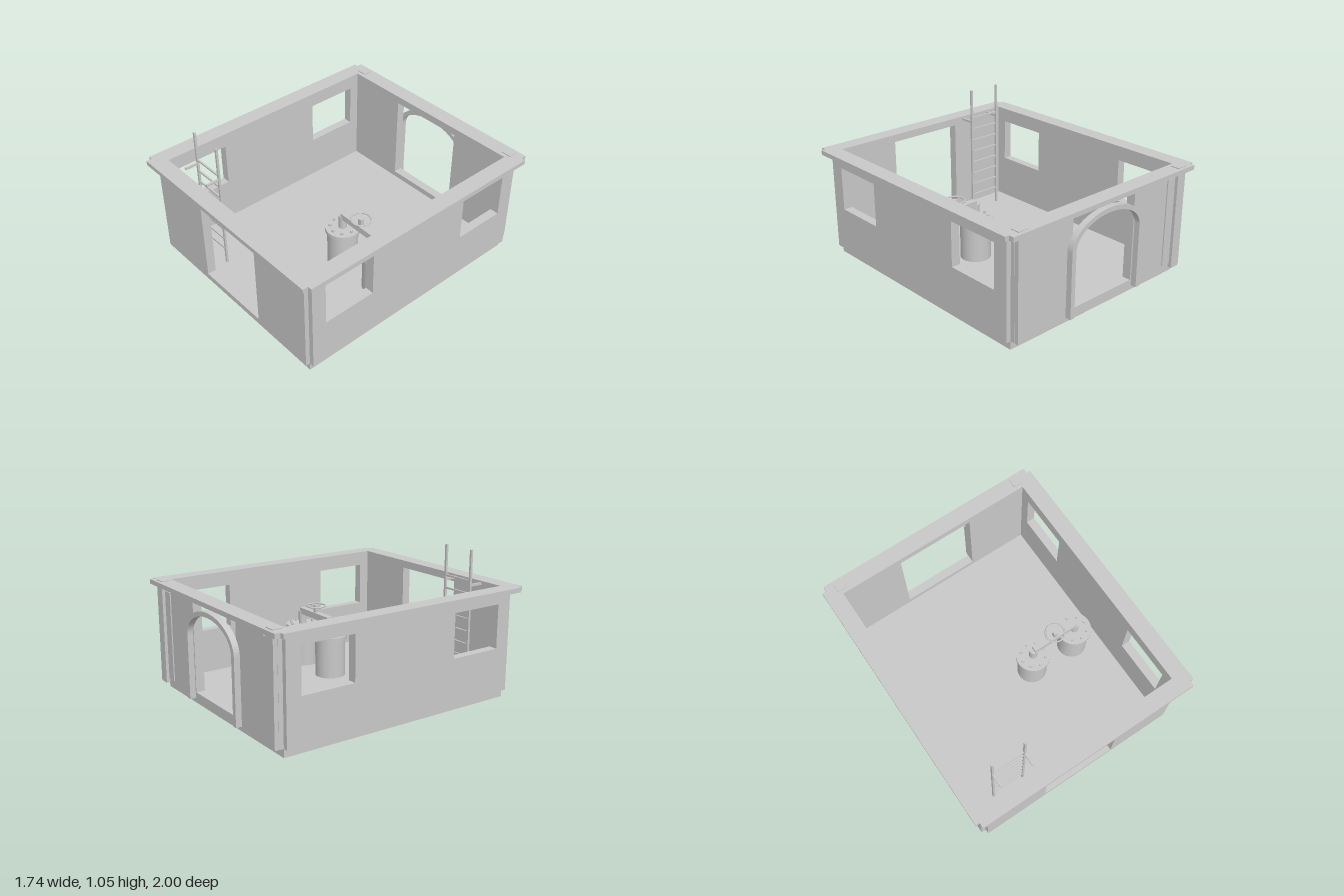
import * as THREE from 'three';

export function createModel() {
  const model = new THREE.Group();
  const grey = new THREE.MeshStandardMaterial({ color: 0xc8c8c8 });
  grey.name = 'plain grey';

  const add = (name, geometry, parent = model) => {
    const mesh = new THREE.Mesh(geometry, grey);
    mesh.name = name;
    parent.add(mesh);
    return mesh;
  };
  // Box given by its limits on each axis
  const box = (name, x0, x1, y0, y1, z0, z1, parent) => {
    const g = new THREE.BoxGeometry(x1 - x0, y1 - y0, z1 - z0);
    g.translate((x0 + x1) / 2, (y0 + y1) / 2, (z0 + z1) / 2);
    return add(name, g, parent);
  };
  const cylinder = (name, r, y0, y1, x, z, sides, parent) => {
    const g = new THREE.CylinderGeometry(r, r, y1 - y0, sides);
    g.translate(x, (y0 + y1) / 2, z);
    return add(name, g, parent);
  };
  const rect = (Type, x0, x1, y0, y1) => new Type([
    [x0, y0], [x1, y0], [x1, y1], [x0, y1],
  ].map(([x, y]) => new THREE.Vector2(x, y)));
  // Upright slab with rectangular openings, starting at z = 0
  const slab = (half, holes, depth) => {
    const shape = rect(THREE.Shape, -half, half, 0.06, 0.775);
    holes.forEach((h) => shape.holes.push(rect(THREE.Path, ...h)));
    return new THREE.ExtrudeGeometry(shape, { depth, bevelEnabled: false });
  };

  // Foundation, whose top is the floor
  box('foundation', -0.78, 0.78, 0, 0.06, -0.913, 0.913);

  // Walls with doorways front and back and two windows on each side
  const doorway = [[-0.29, 0.29, 0.103, 0.75]];
  const windows = [[-0.805, -0.41, 0.383, 0.7], [0.41, 0.805, 0.383, 0.7]];
  add('frontWall', slab(0.78, doorway, 0.065).translate(0, 0, 0.88));
  add('backWall', slab(0.78, doorway, 0.065).translate(0, 0, -0.945));
  for (const x of [-0.75, 0.815]) {
    add(x > 0 ? 'leftWall' : 'rightWall',
      slab(0.913, windows, 0.065).rotateY(-Math.PI / 2).translate(x, 0, 0));
  }

  // Cornice ring with notched corners
  const outline = [];
  for (const [sx, sz, swap] of [[1, 1, 0], [-1, 1, 1], [-1, -1, 0], [1, -1, 1]]) {
    const pts = [[0.87, 0.96], [0.84, 0.96], [0.84, 1]];
    if (swap) pts.reverse();
    pts.forEach(([x, z]) => outline.push(new THREE.Vector2(x * sx, z * sz)));
  }
  const ring = new THREE.Shape(outline);
  ring.holes.push(rect(THREE.Path, -0.75, 0.75, -0.88, 0.88));
  add('cornice', new THREE.ExtrudeGeometry(ring, { depth: 0.033, bevelEnabled: false })
    .rotateX(-Math.PI / 2).translate(0, 0.773, 0));

  // Pilasters and narrow panels on the back wall
  for (const s of [-1, 1]) {
    const span = (a, b) => (s > 0 ? [a, b] : [-b, -a]);
    box('pilaster', ...span(0.7, 0.778), 0.06, 0.812, -0.975, -0.91);
    box('wallPanel', ...span(0.625, 0.7), 0.09, 0.74, -0.953, -0.94);
  }

  // Arched surround of the back doorway
  const arch = new THREE.Shape();
  arch.moveTo(0.335, 0.06);
  arch.lineTo(0.335, 0.527);
  arch.absellipse(0, 0.527, 0.335, 0.211, 0, Math.PI, false);
  arch.lineTo(-0.335, 0.06);
  arch.lineTo(-0.3, 0.06);
  arch.lineTo(-0.3, 0.527);
  arch.absellipse(0, 0.527, 0.3, 0.178, Math.PI, 0, true);
  arch.lineTo(0.3, 0.06);
  add('doorArch', new THREE.ExtrudeGeometry(arch,
    { depth: 0.045, bevelEnabled: false, curveSegments: 20 }).translate(0, 0, -0.988));

  // Two bolted tanks
  const tankZ = 0.102;
  for (const x of [0.18, 0.545]) {
    const tank = new THREE.Group();
    tank.name = 'tank';
    model.add(tank);
    cylinder('tankBody', 0.11, 0.06, 0.342, x, tankZ, 32, tank);
    cylinder('tankFlange', 0.125, 0.34, 0.368, x, tankZ, 32, tank);
    cylinder('tankOutlet', 0.03, 0.365, 0.467, x, tankZ, 20, tank);
    for (let i = 0; i < 8; i++) {
      const a = (i * Math.PI) / 4;
      cylinder('bolt', 0.01, 0.365, 0.386, x + 0.09 * Math.cos(a), tankZ + 0.09 * Math.sin(a), 8, tank);
    }
  }

  // Connecting pipe and valve wheel
  box('connectingPipe', 0.18, 0.545, 0.448, 0.495, 0.079, 0.125);
  box('valveStem', 0.35, 0.378, 0.49, 0.55, 0.088, 0.116);
  add('valveWheel', new THREE.TorusGeometry(0.069, 0.006, 8, 32)
    .rotateX(Math.PI / 2).translate(0.363, 0.545, tankZ));

  // Ladder with brackets to the front wall
  const ladder = new THREE.Group();
  ladder.name = 'ladder';
  model.add(ladder);
  for (const x of [-0.597, -0.347]) {
    box('ladderRail', x - 0.008, x + 0.008, 0.06, 1.05, 0.735, 0.751, ladder);
    box('ladderBracket', x - 0.008, x + 0.008, 0.79, 0.806, 0.745, 0.845, ladder);
  }
  for (let i = 0; i < 8; i++) {
    const y = 0.828 - i * 0.092;
    box('ladderRung', -0.597, -0.347, y - 0.006, y + 0.006, 0.737, 0.749, ladder);
  }
  return model;
}
